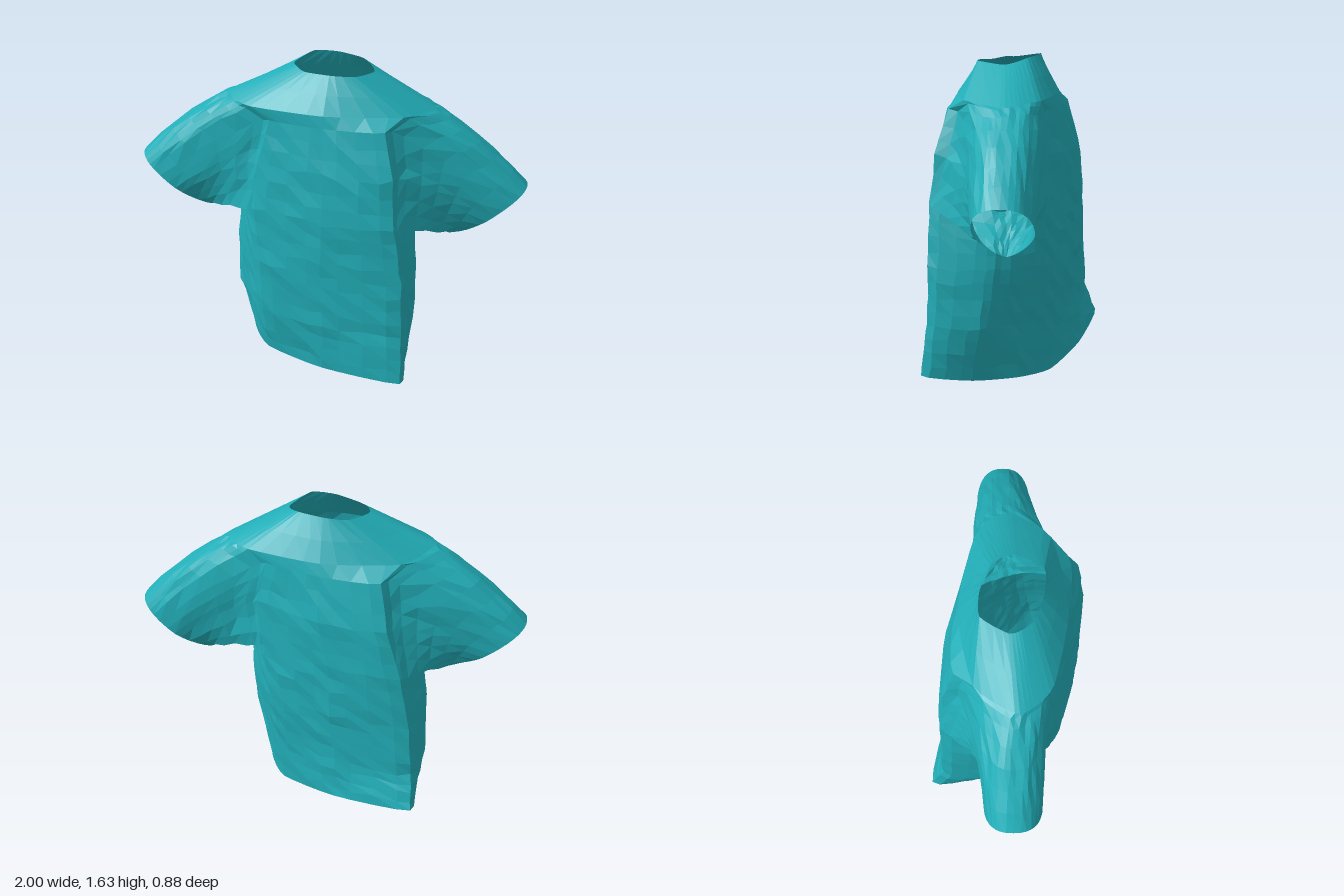
import * as THREE from 'three';

const V = (x, y, z) => new THREE.Vector3(x, y, z);
const SEG = 40; // points around the torso, four between each pair of key points

// Small repeatable noise for the cloth wrinkles
const noise = (a, b) => {
  const s = Math.sin(a * 12.99 + b * 78.23) * 43758.5;
  return (s - Math.floor(s)) * 2 - 1;
};

// Closed ring: half of the key points, repeated by a half turn about the centre.
// Keys run side, sharp corner, front middle, then two for the rounded corner.
function ring({ y, half, cx = 0, cz = 0, lift = [] }) {
  const keys = [];
  for (let k = 0; k < 10; k++) {
    const s = k < 5 ? 1 : -1;
    const [x, z] = half[k % 5];
    keys.push(V(cx + s * x, y + (lift[k] || 0), cz + s * z));
  }
  const curve = new THREE.CatmullRomCurve3(keys, true, 'catmullrom', 0.3);
  return Array.from({ length: SEG }, (_, i) => curve.getPoint(i / SEG));
}

// Rings between two rings, without the last one
function between(a, b, n) {
  return Array.from({ length: n }, (_, j) => a.map((p, i) => p.clone().lerp(b[i], j / n)));
}

// Skin over a stack of rings, leaving out the cells where skip is true
function skin(rows, skip = () => false) {
  const n = rows[0].length, pos = [], index = [];
  rows.forEach(r => r.forEach(p => pos.push(p.x, p.y, p.z)));
  for (let r = 0; r < rows.length - 1; r++) {
    for (let i = 0; i < n; i++) {
      if (skip(r, i)) continue;
      const a = r * n + i, b = r * n + (i + 1) % n, c = b + n, d = a + n;
      index.push(a, d, c, a, c, b);
    }
  }
  const g = new THREE.BufferGeometry();
  g.setAttribute('position', new THREE.Float32BufferAttribute(pos, 3));
  g.setIndex(index);
  g.computeVertexNormals();
  return g;
}

export function createModel() {
  const group = new THREE.Group();
  const teal = new THREE.MeshStandardMaterial({ color: 0x22aeb8, flatShading: true, side: THREE.DoubleSide });
  teal.name = 'teal cloth';
  const add = (name, geometry) => {
    const m = new THREE.Mesh(geometry, teal);
    m.name = name;
    group.add(m);
  };

  // Torso sections from the hem to the shoulder line
  const sections = [
    { y: 0, cx: -0.05, half: [[0.45, 0.18], [0.475, 0.44], [0.05, 0.355], [-0.27, 0.21], [-0.38, 0.05]],
      lift: [0.005, 0.035, 0.03, 0.035, 0.05, 0.09, 0.12, 0.06, 0.015, 0.005] },
    { y: 0.3, cx: -0.045, cz: 0.02, half: [[0.505, 0.12], [0.465, 0.39], [0.05, 0.35], [-0.29, 0.235], [-0.42, 0.05]] },
    { y: 0.6, cx: -0.035, cz: 0.02, half: [[0.495, 0.08], [0.445, 0.375], [0.03, 0.35], [-0.31, 0.245], [-0.44, 0.06]] },
    { y: 0.9, cx: -0.03, cz: 0.02, half: [[0.46, 0.06], [0.395, 0.37], [0.03, 0.345], [-0.34, 0.225], [-0.43, 0.07]] },
    { y: 1.15, cz: 0.02, half: [[0.42, 0], [0.35, 0.345], [0, 0.325], [-0.34, 0.21], [-0.41, 0.08]] },
    { y: 1.38, cz: 0.02, half: [[0.4, 0], [0.3, 0.28], [0, 0.28], [-0.28, 0.21], [-0.38, 0.08]] },
    { y: 1.44, cz: 0.025, half: [[0.52, 0], [0.38, 0.19], [0, 0.265], [-0.38, 0.185], [-0.49, 0.09]],
      lift: [-0.03, -0.01, 0, 0, 0.01, 0.02, 0, 0, -0.01, -0.02] },
  ].map(ring);
  const steps = [4, 4, 4, 3, 3, 1];
  const rows = [];
  steps.forEach((n, s) => rows.push(...between(sections[s], sections[s + 1], n)));
  rows.push(sections[6]);
  const low = 12, top = rows.length - 1; // first and last row of the armholes
  const span = 12; // torso points across an armhole

  // Wrinkles, kept off the hem and the shoulder line
  for (let r = 1; r < top - 1; r++) {
    rows[r].forEach((p, i) => {
      p.z += 0.006 * noise(r, i);
      p.x += 0.004 * noise(i, r + 50);
      p.y += 0.012 * noise(r + 9, i + 3);
    });
  }

  // Armholes lie between the front and back corners on each side
  const inArmhole = i => i >= 32 || i < 4 || (i >= 12 && i < 24);
  add('torso', skin(rows, (r, i) => r >= low && inArmhole(i)));

  // Yoke from the shoulder line up to the open neck
  const neck = ring({ y: 1.6, cx: 0.01, cz: 0.02,
    half: [[0.2, 0.02], [0.125, 0.15], [0, 0.15], [-0.13, 0.1], [-0.185, 0.04]],
    lift: [-0.01, 0.005, 0.005, 0, 0.01, 0.01, 0.03, 0.03, 0.02, 0] });
  add('yoke', skin([...between(rows[top], neck, 2), neck]));

  // Sleeves run from the armhole edge to a slanted cuff that is pointed below.
  // Their sides step in quickly behind the torso panels, the underarm runs straight.
  const along = [0, 0.05, 0.14, 0.3, 0.48, 0.66, 0.84, 1];
  const sleeve = (name, start, side, rise) => {
    const root = [], angles = [];
    const put = (r, i, a) => { root.push(rows[r][(start + i) % SEG]); angles.push(a); };
    const edge = top - low;
    for (let i = 0; i <= span; i++) put(low, i, -32 + i * 64 / span);
    for (let j = 1; j < edge; j++) put(low + j, span, 32 + 88 * j / edge);
    for (let i = span; i >= 0; i--) put(top, i, 120 + (span - i) * 120 / span);
    for (let j = edge - 1; j > 0; j--) put(low + j, 0, 240 + 88 * (edge - j) / edge);

    const cuff = angles.map(deg => {
      const a = THREE.MathUtils.degToRad(deg);
      const c = -Math.cos(a), s = Math.sin(a);
      const power = c < 0 ? 1.4 : 0.8;
      const u = Math.sign(c) * Math.abs(c) ** power;
      const w = Math.sign(s) * Math.abs(s) ** power;
      return V(side * (0.82 + 0.18 * u), 0.87 + rise + 0.15 * u, side * (-0.015 + 0.145 * w));
    });
    const rings = along.map((t, r) => root.map((p, i) => {
      const q = p.clone().lerp(cuff[i], t);
      const fromBottom = Math.min(Math.abs(angles[i]), 360 - angles[i]);
      const f = THREE.MathUtils.clamp((fromBottom - 32) / 45, 0, 1);
      q.z = THREE.MathUtils.lerp(p.z, cuff[i].z, t ** (1 - 0.6 * f));
      if (r > 0 && t < 1) {
        q.y += 0.03 * f * Math.sin(Math.PI * t) + 0.008 * noise(r, i + 20);
        q.z += 0.006 * noise(r + 30, i);
      }
      return q;
    }));
    add(name, skin(rings));
  };
  sleeve('leftSleeve', 32, 1, 0);
  sleeve('rightSleeve', 12, -1, 0.075);

  return group;
}
